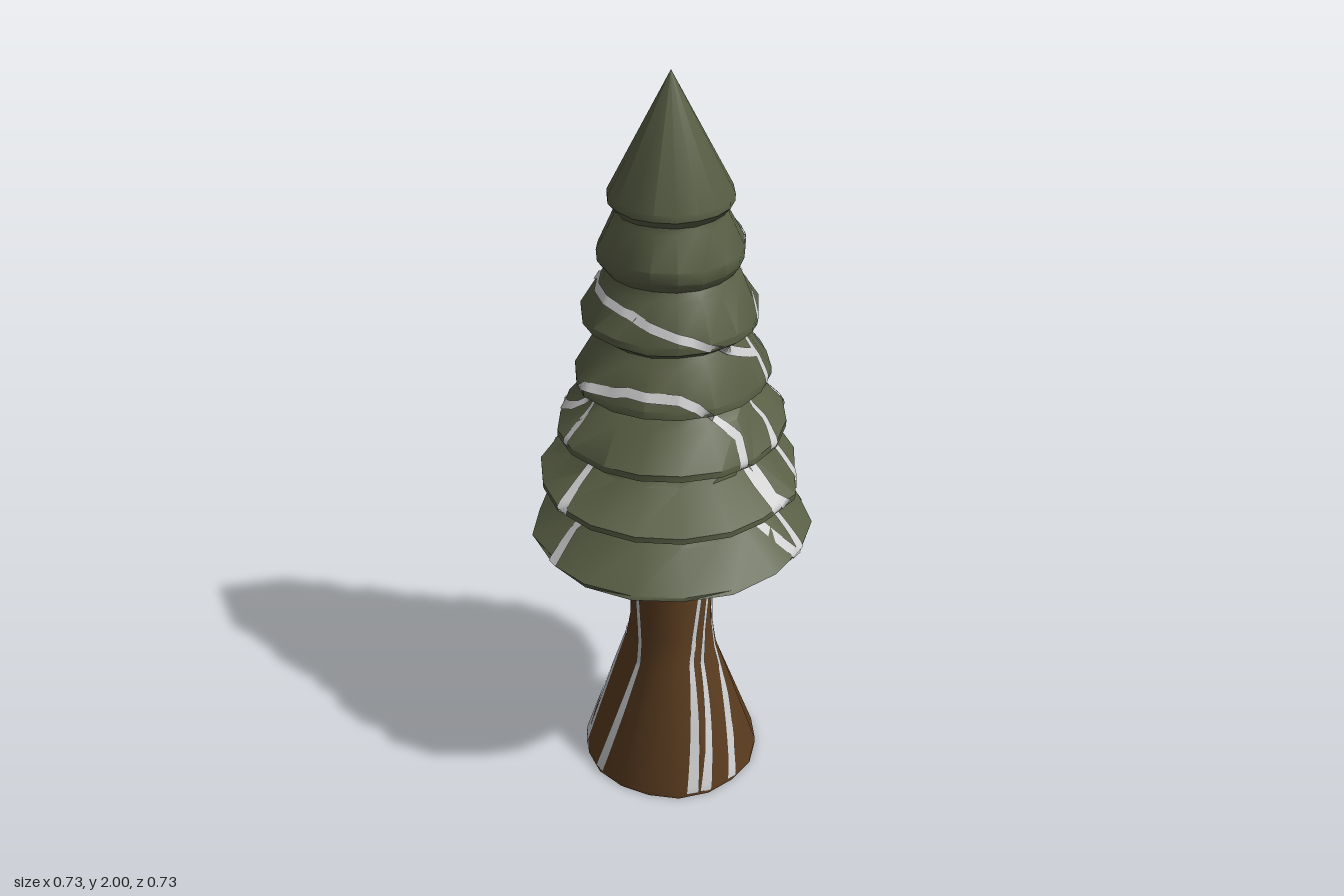
import * as THREE from 'three';
import { toCreasedNormals } from 'three/addons/utils/BufferGeometryUtils.js';

const SIDES = 18;
const rad = THREE.MathUtils.degToRad;

function seeded(seed) {
  return () => (seed = (seed * 16807) % 2147483647) / 2147483647;
}

// Profile rows, bottom to top: [radius, height, radius jitter, height jitter]
const foliageProfile = [
  [0.09, 0.765, 0, 0], [0.362, 0.78, 0.03, 0.004], [0.365, 0.792, 0.03, 0.004],
  [0.27, 0.875, 0.04, 0.008], [0.245, 0.9, 0.03, 0.008],
  [0.335, 0.935, 0.04, 0.01], [0.335, 0.95, 0.04, 0.01],
  [0.235, 1.03, 0.04, 0.008], [0.215, 1.055, 0.03, 0.006],
  [0.292, 1.085, 0.04, 0.01], [0.292, 1.102, 0.04, 0.01],
  [0.22, 1.18, 0.04, 0.008], [0.195, 1.205, 0.03, 0.006],
  [0.25, 1.235, 0.04, 0.009], [0.25, 1.255, 0.04, 0.009],
  [0.195, 1.335, 0.03, 0.006], [0.178, 1.36, 0.02, 0.005],
  [0.218, 1.39, 0.03, 0.007], [0.219, 1.41, 0.03, 0.007],
  [0.17, 1.505, 0.02, 0.004], [0.16, 1.525, 0.02, 0.003],
  [0.178, 1.55, 0.02, 0.004], [0.18, 1.58, 0.02, 0.004],
  [0.14, 1.66, 0.01, 0.002], [0.136, 1.675, 0.01, 0.002],
  [0.152, 1.695, 0.01, 0.003], [0.152, 1.712, 0.01, 0.003], [0.0005, 2, 0, 0],
];
const trunkProfile = [
  [0.0005, 0, 0, 0], [0.247, 0, 0.02, 0], [0.247, 0.015, 0.02, 0],
  [0.122, 0.365, 0.04, 0.02], [0.112, 0.45, 0.02, 0.01], [0.105, 0.78, 0.01, 0],
];

// Rings of slightly uneven points around the y axis; angle 0 is the front, growing towards +x
function makeRings(profile, random) {
  // Neighbouring rows share the same wobble so that the rims stay crisp
  const wobble = Array.from({ length: SIDES }, () => 0);
  return profile.map(([r, y, jr, jy], row) => {
    const keep = row > 0 && Math.abs(profile[row - 1][0] - r) < 0.003;
    return wobble.map((_, i) => {
      if (!keep) wobble[i] = random() * 2 - 1;
      const a = (i / SIDES) * Math.PI * 2;
      const radius = r * (1 + jr * wobble[i]);
      return new THREE.Vector3(Math.sin(a) * radius, y + jy * wobble[i], Math.cos(a) * radius);
    });
  });
}

function skin(rings) {
  const geometry = new THREE.BufferGeometry();
  geometry.setFromPoints(rings.flat());
  const index = [];
  for (let j = 0; j < rings.length - 1; j++) {
    for (let i = 0; i < SIDES; i++) {
      const a = j * SIDES + i, b = j * SIDES + ((i + 1) % SIDES);
      index.push(a, b, b + SIDES, a, b + SIDES, a + SIDES);
    }
  }
  geometry.setIndex(index);
  return toCreasedNormals(geometry, 0.6);
}

// Point on the skin at an angle in degrees and a nominal height
function onSkin(rings, profile, degrees, y, lift) {
  let j = 1;
  while (j < profile.length - 2 && profile[j + 1][1] < y) j++;
  const v = THREE.MathUtils.clamp((y - profile[j][1]) / (profile[j + 1][1] - profile[j][1]), 0, 1);
  const u = (((degrees % 360) + 360) % 360) / 360 * SIDES;
  const i = Math.floor(u) % SIDES, k = (i + 1) % SIDES, f = u - Math.floor(u);
  const low = rings[j][i].clone().lerp(rings[j][k], f);
  const high = rings[j + 1][i].clone().lerp(rings[j + 1][k], f);
  const p = low.lerp(high, v);
  const a = rad(degrees);
  return p.add(new THREE.Vector3(Math.sin(a) * lift, lift * 0.5, Math.cos(a) * lift));
}

// A crack is a narrow band laid along [degrees, height] points
function crackBand(rings, profile, path, width, meanRadius) {
  const points = [];
  const arc = rad(1) * meanRadius;
  for (let n = 0; n < path.length - 1; n++) {
    const [d0, y0] = path[n], [d1, y1] = path[n + 1];
    const dx = (d1 - d0) * arc, dy = y1 - y0, length = Math.hypot(dx, dy);
    const steps = Math.max(2, Math.ceil(length / 0.012));
    for (let s = 0; s <= steps; s++) {
      const d = d0 + (d1 - d0) * s / steps, y = y0 + dy * s / steps;
      for (const side of [-0.5, 0.5]) {
        points.push(onSkin(rings, profile,
          d + side * width * (dy / length) / arc, y - side * width * (dx / length), 0.004));
      }
    }
  }
  const geometry = new THREE.BufferGeometry().setFromPoints(points);
  const index = [];
  for (let i = 0; i + 3 < points.length; i += 2) index.push(i, i + 1, i + 3, i, i + 3, i + 2);
  geometry.setIndex(index);
  geometry.computeVertexNormals();
  return geometry;
}

const foliageCracks = [
  // arch over the front
  [[-41, 0.78], [-43, 0.86], [-36, 0.94], [-46, 1.05], [-48, 1.15], [-52, 1.23], [-42, 1.26], [-12, 1.285],
    [20, 1.28], [30, 1.26], [45, 1.2], [56, 1.15], [53, 1.09], [75, 1.03], [70, 0.97], [75, 0.93]],
  // sagging line around the upper tiers
  [[-143, 1.39], [-110, 1.44], [-72, 1.5], [-60, 1.485], [-15, 1.47], [28, 1.42], [50, 1.38], [60, 1.36], [92, 1.31]],
  // long line up the left side, ending in a ring
  [[77, 0.78], [68, 0.9], [68, 1], [70, 1.06], [85, 1.15], [84, 1.2], [92, 1.3], [90, 1.4], [105, 1.48],
    [124, 1.52], [114, 1.58], [139, 1.62], [165, 1.59], [155, 1.54], [124, 1.52]],
  // left side branch and ring
  [[80, 0.79], [90, 0.92], [112, 1], [117, 1.05], [120, 1.1], [138, 1.18], [121, 1.23], [150, 1.28], [160, 1.25], [138, 1.21]],
  // back lines
  [[165, 1.6], [192, 1.55], [217, 1.39], [232, 1.22], [221, 1.13], [230, 1.08], [238, 0.95], [243, 0.8]],
  [[221, 1.13], [200, 1.05], [190, 0.95], [193, 0.8]],
  [[150, 1.27], [183, 1.2], [200, 1.05]],
  [[-52, 1.23], [-68, 1.15], [-97, 1.08], [-100, 0.93], [-116, 0.8]],
];
const trunkCracks = [
  [[-47, 0.76], [-32, 0.42], [-40, 0.01]],
  [[-80, 0.4], [-68, 0.01]],
  [[68, 0.7], [42, 0.37], [29, 0.01]],
  [[90, 0.76], [80, 0.6], [62, 0.4], [38, 0.01]],
  [[82, 0.63], [100, 0.5], [90, 0.4], [59, 0.01]],
  [[-145, 0.76], [-165, 0.4], [-137, 0.01]],
  [[-120, 0.76], [-95, 0.4], [-75, 0.01]],
];

export function createModel() {
  const tree = new THREE.Group();
  tree.name = 'crackedTree';
  const random = seeded(4711);
  const grey = new THREE.MeshStandardMaterial({ color: 0xcccccc, side: THREE.DoubleSide });

  const add = (geometry, material, name) => {
    const mesh = new THREE.Mesh(geometry, material);
    mesh.name = name;
    tree.add(mesh);
    return mesh;
  };

  // Trunk and tiered foliage
  const parts = [
    ['trunk', trunkProfile, trunkCracks, 0x5c3d20, 0.02, 0.15],
    ['foliage', foliageProfile, foliageCracks, 0x595f45, 0.021, 0.23],
  ];
  for (const [name, profile, cracks, color, width, radius] of parts) {
    const rings = makeRings(profile, random);
    add(skin(rings), new THREE.MeshStandardMaterial({ color }), name);
    for (const path of cracks) add(crackBand(rings, profile, path, width, radius), grey, name + 'Crack');
  }

  // Cracks across the underside of the lowest tier
  for (const degrees of [-41, 77, 177, -144, -117]) {
    const strip = new THREE.BoxGeometry(0.014, 0.004, 0.25).translate(0, 0, 0.225);
    strip.rotateX(-0.055);
    const mesh = add(strip, grey, 'undersideCrack');
    mesh.position.y = 0.759;
    mesh.rotation.y = rad(degrees);
  }
  return tree;
}
